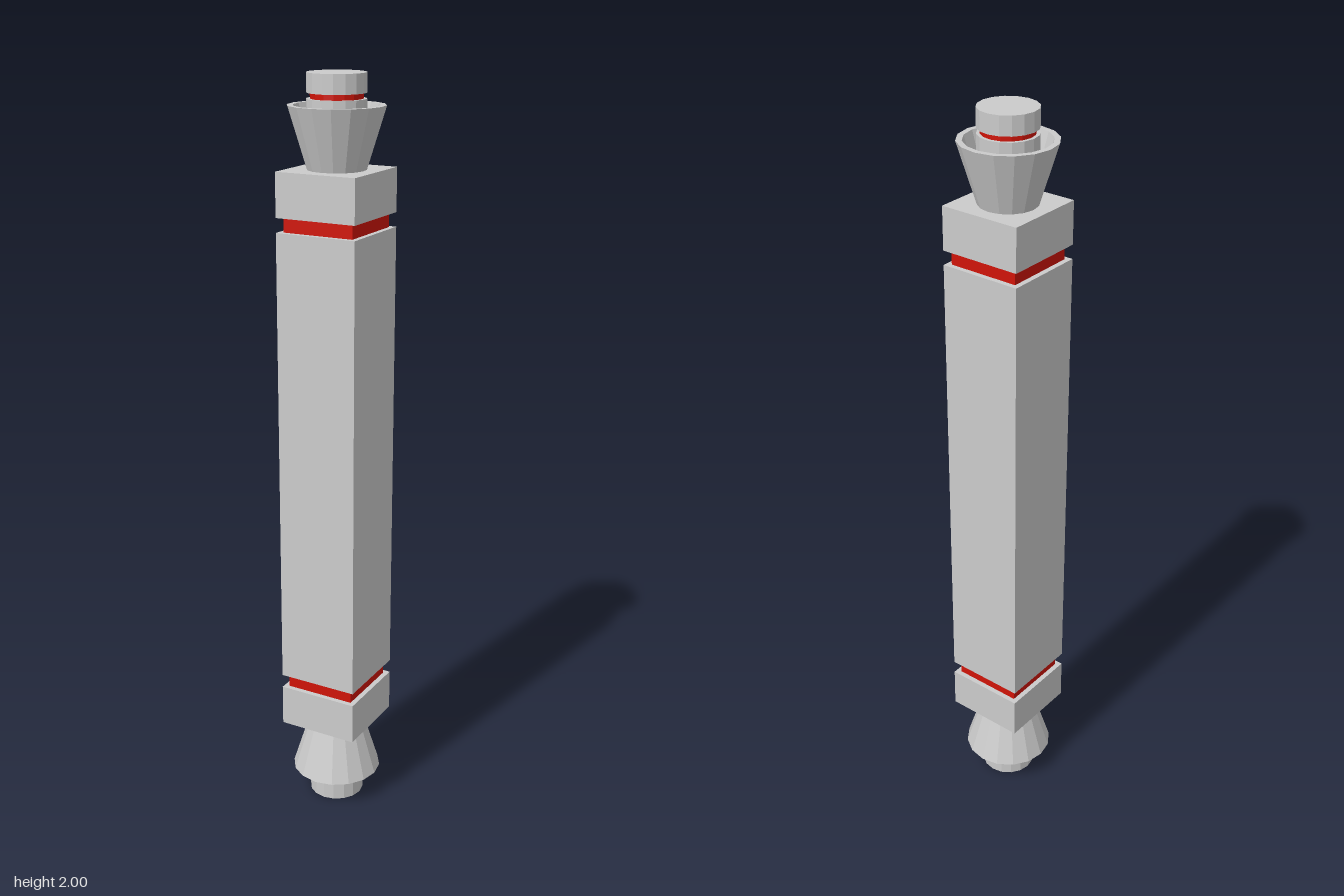
import * as THREE from 'three';

const SIDES = 16;
const grey = new THREE.MeshStandardMaterial({ color: 0xcccccc, flatShading: true });
const red = new THREE.MeshStandardMaterial({ color: 0xd01408, flatShading: true });

function add(parent, name, geometry, material) {
  const mesh = new THREE.Mesh(geometry, material);
  mesh.name = name;
  parent.add(mesh);
}

// square block between two heights
function block(width, y0, y1) {
  return new THREE.BoxGeometry(width, y1 - y0, width).translate(0, (y0 + y1) / 2, 0);
}

// round section between two heights
function drum(radius, y0, y1) {
  return new THREE.CylinderGeometry(radius, radius, y1 - y0, SIDES).translate(0, (y0 + y1) / 2, 0);
}

// one end of the hilt; heights are measured from the middle
function createEnd(name) {
  const end = new THREE.Group();
  end.name = name;
  add(end, 'squareBand', block(0.194, 0.61, 0.665), red);
  add(end, 'squareCollar', block(0.222, 0.655, 0.768), grey);

  // flared cup, hollow around the plug
  const cup = [[0, 0.768], [0.075, 0.768], [0.123, 0.923], [0.108, 0.923], [0.075, 0.81], [0, 0.81]];
  add(end, 'flaredCup', new THREE.LatheGeometry(cup.map(([r, y]) => new THREE.Vector2(r, y)), SIDES), grey);

  add(end, 'plug', drum(0.075, 0.8, 0.938), grey);
  add(end, 'plugBand', drum(0.066, 0.93, 0.96), red);
  add(end, 'endCap', drum(0.075, 0.952, 1), grey);
  return end;
}

export function createModel() {
  const model = new THREE.Group();
  model.name = 'squareHilt';

  const hilt = new THREE.Group();
  hilt.name = 'hilt';
  hilt.position.y = 1;
  model.add(hilt);

  add(hilt, 'grip', block(0.222, -0.618, 0.618), grey);

  // the lower end is the upper one turned over
  const lower = createEnd('lowerEnd');
  lower.rotation.x = Math.PI;
  hilt.add(createEnd('upperEnd'), lower);
  return model;
}
